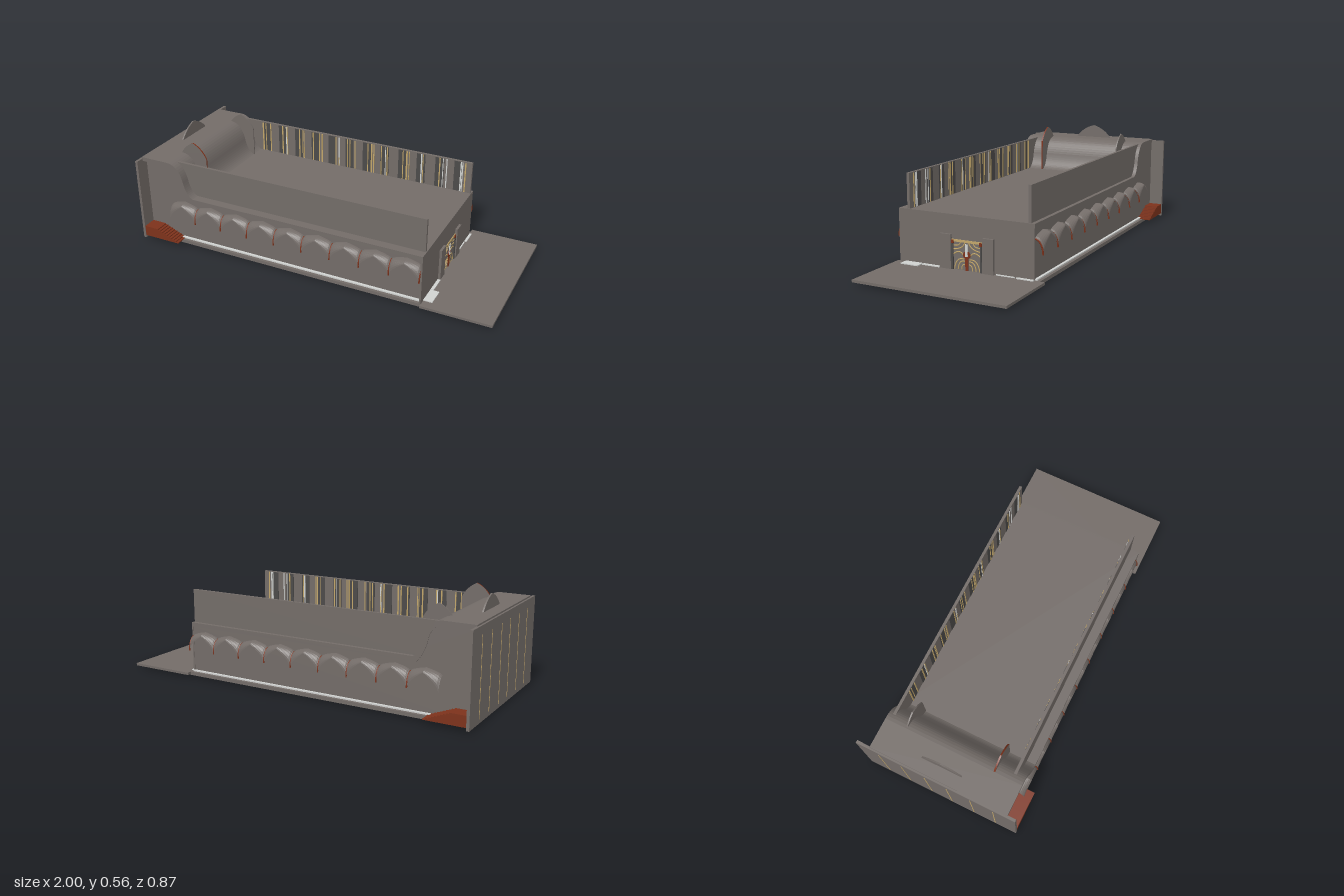
import * as THREE from 'three';

export function createModel() {
  const root = new THREE.Group();
  const mat = (name, color) => {
    const m = new THREE.MeshStandardMaterial({ color, side: THREE.DoubleSide });
    m.name = name;
    return m;
  };
  const stone = mat('stone grey', 0x736c68);
  const dark = mat('dark glass', 0x4c4a49);
  const red = mat('red brown', 0x7d321b);
  const gold = mat('gold', 0xc2a66a);
  const pale = mat('pale floor', 0xd0d2d0);

  const add = (name, geo, m, parent = root) => {
    const mesh = new THREE.Mesh(geo, m);
    mesh.name = name;
    parent.add(mesh);
    return mesh;
  };
  // Box given by its limits on each axis
  const box = (name, m, x0, x1, y0, y1, z0, z1, parent = root) => {
    const b = add(name, new THREE.BoxGeometry(x1 - x0, y1 - y0, z1 - z0), m, parent);
    b.position.set((x0 + x1) / 2, (y0 + y1) / 2, (z0 + z1) / 2);
    return b;
  };
  // Outline in x and y, extruded between two z values
  const slab = (name, m, shape, z0, z1, parent = root) => {
    const g = new THREE.ExtrudeGeometry(shape, { depth: z1 - z0, bevelEnabled: false, curveSegments: 10 });
    return add(name, g.translate(0, 0, z0), m, parent);
  };
  const shapeOf = pts => new THREE.Shape(pts.map(p => new THREE.Vector2(...p)));

  // Roof line: flat, then an S-shaped drop to the low roof
  const roofLine = d => {
    const p = new THREE.Path();
    p.moveTo(-0.99, 0.483 - d);
    p.lineTo(-0.83 - d * 0.3, 0.483 - d);
    p.bezierCurveTo(-0.77 - d, 0.483 - d, -0.745 - d, 0.43, -0.735 - d, 0.39);
    p.bezierCurveTo(-0.725 - d, 0.34, -0.71 - d, 0.31, -0.68 - d, 0.296 - d);
    p.lineTo(0.63, 0.296 - d);
    return p.getPoints(10).map(v => [v.x, v.y]);
  };
  const outer = roofLine(0), inner = roofLine(0.022);
  slab('roof', stone, shapeOf([...outer, ...inner.slice().reverse()]), -0.362, 0.39);
  const wallShape = shapeOf([[-0.99, 0.02], ...inner, [0.63, 0.02]]);
  slab('leftSideWall', stone, wallShape, 0.348, 0.358);
  slab('rightSideWall', stone, wallShape, -0.358, -0.348);

  // End walls
  box('tallEndWall', stone, -1, -0.985, 0.008, 0.475, -0.435, 0.435);
  for (const s of [-1, 1]) for (const z of [0.06, 0.19, 0.315])
    box('goldWallLine', gold, -1.001, -0.999, 0.03, 0.43, s * z - 0.0025, s * z + 0.0025);
  box('entranceWall', stone, 0.622, 0.632, 0.02, 0.296, -0.36, 0.39);

  // Floor, base frame and entrance platform
  box('floor', pale, -0.84, 0.625, 0.014, 0.032, -0.372, 0.372);
  box('rearFloor', pale, -0.985, -0.84, 0.014, 0.024, -0.372, 0.372);
  box('baseEdge', stone, -0.985, 0.632, 0.007, 0.025, 0.372, 0.388);
  box('baseEdge', stone, -0.985, 0.632, 0.007, 0.025, -0.388, -0.372);
  box('baseEnd', stone, 0.61, 0.632, 0.007, 0.025, -0.372, 0.372);
  box('baseEnd', stone, -0.985, -0.965, 0.007, 0.025, -0.372, 0.372);
  box('platform', stone, 0.63, 1, 0.012, 0.025, -0.413, 0.405);
  for (const [a, b] of [[-0.3, -0.05], [0.05, 0.3]])
    box('underfloorStrip', red, -0.955, -0.925, 0.01, 0.014, a, b);
  for (const [a, b, x] of [[-0.36, -0.27, 0.645], [-0.26, -0.16, 0.638], [0.15, 0.25, 0.648], [0.255, 0.355, 0.68]])
    box('thresholdPlate', pale, 0.63, x, 0.025, 0.03, a, b);
  // Thin joints under the floor
  for (let i = 0; i < 16; i++)
    box('floorJoint', dark, -0.8 + i * 0.09, -0.797 + i * 0.09, 0.0125, 0.014, 0.13, 0.3);
  for (const z of [0.13, 0.21, 0.3])
    box('floorJoint', dark, -0.8, 0.6, 0.0125, 0.014, z, z + 0.003);

  // Upper walls with striped inner faces
  for (const s of [-1, 1]) {
    const wall = new THREE.Group();
    wall.name = s > 0 ? 'leftUpperWall' : 'rightUpperWall';
    wall.scale.z = s;
    root.add(wall);
    box('wallSlab', stone, -0.8, 0.627, 0.29, 0.475, 0.327, 0.342, wall);
    box('bottomRail', stone, -0.98, 0.627, 0, 0.014, 0.327, 0.342, wall);
    let seed = 7;
    const rand = () => (seed = (seed * 16807) % 2147483647) / 2147483647;
    for (let i = 0; i < 12; i++) {
      const x = -0.66 + i * 0.108;
      box('darkPane', dark, x, x + 0.05, 0.298, 0.472, 0.325, 0.327, wall);
      for (let j = 0; j < 3; j++) {
        const sx = x + rand() * 0.07, w = 0.003 + rand() * 0.006;
        box('stripe', i > 8 && j ? pale : j === 2 && i % 3 === 1 ? pale : gold,
          sx, sx + w, 0.298, 0.472, 0.323, 0.3255, wall);
      }
    }
  }

  // Scalloped canopies: nine vaulted bays with ribs between them
  const bay = 0.1615, startX = -0.832;
  const vaultY = (u, c) => {
    const a = Math.pow(1 - Math.abs(u), 0.6);
    const top = 0.225 + 0.027 * a, low = 0.152 + 0.085 * a;
    return low + (top - low) * c;
  };
  const vault = () => {
    const g = new THREE.PlaneGeometry(1, 1, 16, 6);
    const p = g.attributes.position;
    for (let i = 0; i < p.count; i++) {
      const u = p.getX(i) * 2, t = (0.5 - p.getY(i)) * Math.PI / 2;
      p.setXYZ(i, u * bay / 2, vaultY(u, Math.cos(t)), 0.357 + 0.043 * Math.sin(t));
    }
    const flat = g.toNonIndexed();
    flat.computeVertexNormals();
    return flat;
  };
  const vaultGeo = vault();
  const ribPath = new THREE.CatmullRomCurve3([0, 1, 2, 3, 4, 5].map(i => {
    const t = i * Math.PI / 10;
    return new THREE.Vector3(0, vaultY(1, Math.cos(t)) - 0.002, 0.357 + 0.043 * Math.sin(t));
  }));
  const ribGeo = new THREE.TubeGeometry(ribPath, 10, 0.004, 6);
  for (const s of [-1, 1]) {
    const canopy = new THREE.Group();
    canopy.name = s > 0 ? 'leftCanopy' : 'rightCanopy';
    canopy.scale.z = s;
    root.add(canopy);
    for (let i = 0; i < 9; i++) {
      add('vault', vaultGeo, stone, canopy).position.x = startX + bay * (i + 0.5);
      add('rib', ribGeo, red, canopy).position.x = startX + bay * (i + 1);
    }
    // Side stairs
    const pts = [[-0.985, 0.022], [-0.985, 0.08], [-0.9, 0.08]];
    for (let i = 1; i <= 9; i++) {
      const y = 0.08 - i * 0.0058, x = -0.9 + (i - 1) * 0.0145;
      pts.push([x, y], [x + 0.0145, y]);
    }
    pts.push([-0.77, 0.022]);
    slab('stairs', red, shapeOf(pts), 0.358, 0.433, canopy);
  }

  // Thin pointed arches standing on the roof
  const arch = () => {
    const a = new THREE.Shape();
    a.moveTo(-0.675, 0.29);
    a.lineTo(-0.675, 0.47);
    a.quadraticCurveTo(-0.7, 0.525, -0.755, 0.55);
    a.quadraticCurveTo(-0.815, 0.525, -0.835, 0.47);
    a.lineTo(-0.835, 0.29);
    return a;
  };
  slab('redEdgedArch', [stone, red], arch(), 0.236, 0.244);
  slab('greyArch', stone, arch(), -0.248, -0.241).scale.y = 0.975;
  const crest = new THREE.Shape();
  crest.moveTo(-0.112, 0.48);
  crest.quadraticCurveTo(-0.07, 0.537, 0, 0.556);
  crest.quadraticCurveTo(0.07, 0.537, 0.112, 0.48);
  const crestPlate = slab('crestArch', stone, crest, -0.004, 0.004);
  crestPlate.rotation.y = Math.PI / 2;
  crestPlate.position.x = -0.92;

  // Gate with gold tracery between two piers
  const gate = new THREE.Group();
  gate.name = 'gate';
  root.add(gate);
  box('gatePanel', stone, 0.63, 0.633, 0.025, 0.175, -0.087, 0.087, gate);
  box('gateBeam', gold, 0.633, 0.636, 0.163, 0.175, -0.085, 0.085, gate);
  const sweeps = [
    [[0.01, 0.165], [0.02, 0.13], [0.075, 0.125]],
    [[0.035, 0.165], [0.04, 0.14], [0.075, 0.145]],
    [[0.02, 0.1], [0.04, 0.13], [0.075, 0.1]],
    [[0.015, 0.08], [0.06, 0.09], [0.07, 0.027]],
    [[0.012, 0.07], [0.045, 0.075], [0.05, 0.027]],
    [[0.012, 0.055], [0.03, 0.055], [0.03, 0.027]],
  ];
  for (const s of [-1, 1]) {
    for (const pts of sweeps) {
      const c = new THREE.QuadraticBezierCurve3(...pts.map(([z, y]) => new THREE.Vector3(0.633, y, s * z)));
      add('tracery', new THREE.TubeGeometry(c, 12, 0.0032, 5), gold, gate);
    }
    box('gateColumn', dark, 0.633, 0.64, 0.025, 0.155, s * 0.08 - 0.005, s * 0.08 + 0.005, gate);
    box('gateBracket', red, 0.633, 0.64, 0.155, 0.172, s * 0.078 - 0.006, s * 0.078 + 0.006, gate);
    const pier = s > 0 ? [0.085, 0.146] : [-0.15, -0.09];
    box('pier', stone, 0.63, 0.645, 0.025, 0.198, ...pier, gate);
  }
  const disc = add('gateDisc', new THREE.CylinderGeometry(0.02, 0.02, 0.004, 20), red, gate);
  disc.rotation.z = Math.PI / 2;
  disc.position.set(0.636, 0.102, 0);
  box('gatePost', red, 0.633, 0.638, 0.025, 0.085, -0.008, 0.008, gate);
  box('gateLight', pale, 0.636, 0.64, 0.095, 0.157, -0.007, 0.007, gate);

  return root;
}
